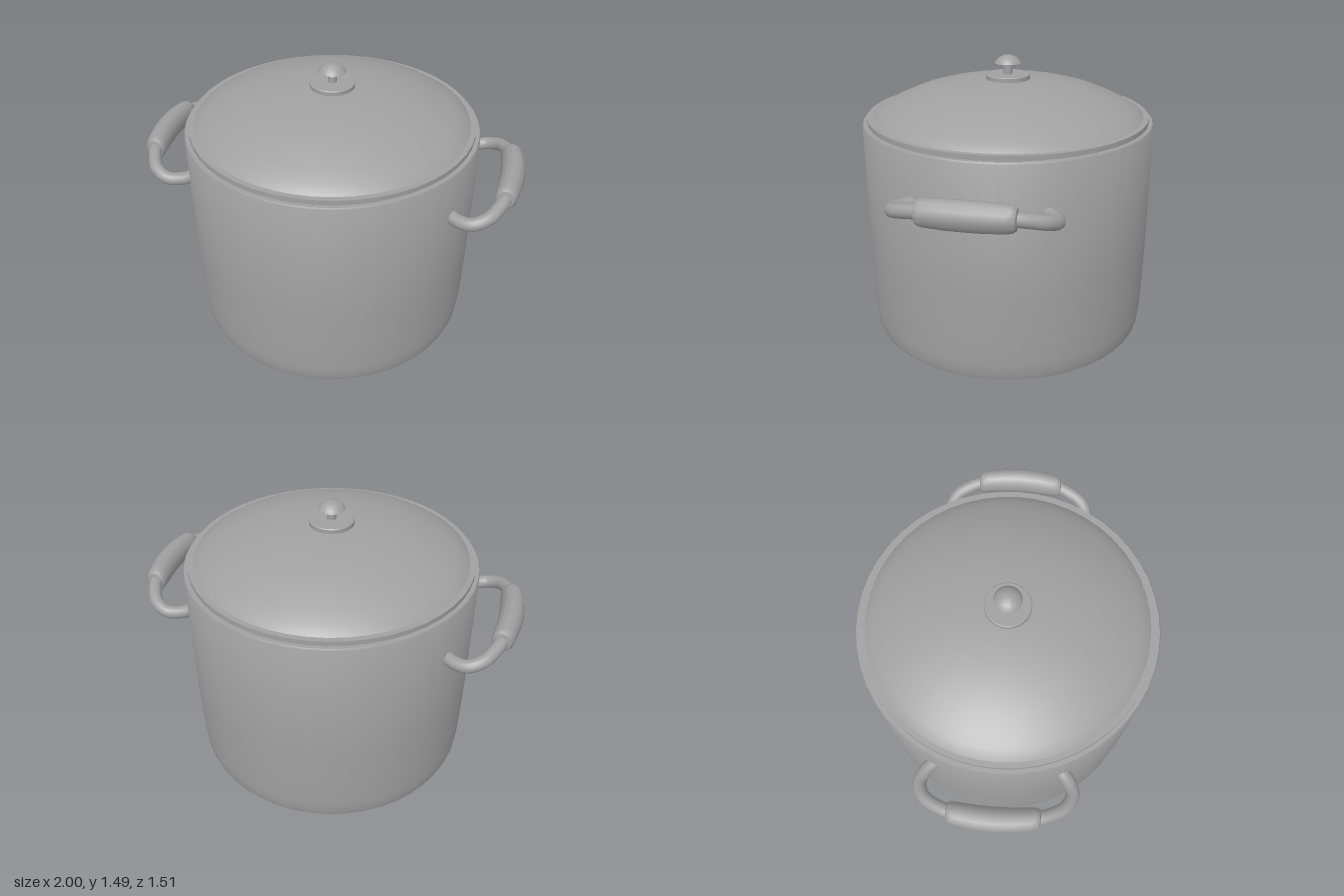
import * as THREE from 'three';
import { toCreasedNormals } from 'three/addons/utils/BufferGeometryUtils.js';

const material = new THREE.MeshStandardMaterial({ color: 0xa0a0a0, side: THREE.DoubleSide });

function part(name, geometry) {
  const mesh = new THREE.Mesh(geometry, material);
  mesh.name = name;
  return mesh;
}

// Turned part from [radius, height] pairs, listed from bottom to top on the outside
function turned(profile, segments) {
  const points = profile.map(([r, y]) => new THREE.Vector2(r, y));
  return toCreasedNormals(new THREE.LatheGeometry(points, segments), 0.6);
}

// Side handle on +x: a bent rod with a thicker grip around its middle
function createHandle(name) {
  const handle = new THREE.Group();
  handle.name = name;

  const half = [
    [0.667, 0.912, 0.315], [0.71, 0.912, 0.352], [0.78, 0.921, 0.377],
    [0.85, 0.945, 0.345], [0.893, 0.966, 0.275], [0.918, 0.979, 0.2],
  ];
  const path = [
    ...half,
    [0.938, 0.986, 0],
    ...half.map(([x, y, z]) => [x, y, -z]).reverse(),
  ].map((p) => new THREE.Vector3(...p));
  const curve = new THREE.CatmullRomCurve3(path);
  handle.add(part('handleRod', new THREE.TubeGeometry(curve, 72, 0.034, 16)));

  // Grip: turned along z, flattened, then bowed to follow the rod
  const grip = turned([
    [0, -0.226], [0.036, -0.226], [0.05, -0.222], [0.059, -0.208], [0.063, -0.18],
    [0.067, -0.09], [0.068, 0], [0.067, 0.09], [0.063, 0.18],
    [0.059, 0.208], [0.05, 0.222], [0.036, 0.226], [0, 0.226],
  ], 12);
  grip.rotateX(Math.PI / 2);
  grip.scale(0.9, 1.05, 1);
  const pos = grip.attributes.position;
  for (let i = 0; i < pos.count; i++) {
    const z2 = pos.getZ(i) ** 2;
    pos.setX(i, pos.getX(i) + 0.939 - 0.45 * z2);
    pos.setY(i, pos.getY(i) + 0.985 - 0.15 * z2);
  }
  handle.add(part('handleGrip', grip));
  return handle;
}

export function createModel() {
  const model = new THREE.Group();
  model.name = 'stockPot';

  // Pot body with rounded bottom edge, rim and inner wall
  model.add(part('potBody', turned([
    [0, 0], [0.57, 0.002], [0.67, 0.006], [0.71, 0.012], [0.734, 0.027],
    [0.744, 0.055], [0.75, 0.12], [0.754, 0.28], [0.757, 0.48], [0.757, 1.155],
    [0.752, 1.163], [0.73, 1.163], [0.73, 0.08], [0.7, 0.035], [0, 0.03],
  ], 48)));

  // Lid: stepped flange and domed top
  const lid = new THREE.Group();
  lid.name = 'lid';
  lid.add(part('lidFlange', turned([
    [0.7, 1.155], [0.732, 1.155], [0.732, 1.188], [0.69, 1.188],
  ], 48)));
  const dome = [[0.715, 1.175], [0.705, 1.188], [0.655, 1.222], [0.6, 1.25], [0.5, 1.293],
    [0.4, 1.323], [0.3, 1.345], [0.2, 1.359], [0.1, 1.367], [0, 1.369]];
  lid.add(part('lidDome', turned(dome, 48)));

  // Knob: base disc, stem and mushroom cap
  lid.add(part('knobBase', turned([
    [0.114, 1.36], [0.114, 1.386], [0.11, 1.39], [0, 1.39],
  ], 32)));
  const stem = part('knobStem', new THREE.CylinderGeometry(0.023, 0.023, 0.07, 20));
  stem.position.y = 1.415;
  lid.add(stem);
  lid.add(part('knobCap', turned([
    [0, 1.443], [0.066, 1.443], [0.07, 1.446], [0.062, 1.459], [0.046, 1.474],
    [0.024, 1.484], [0, 1.487],
  ], 32)));
  model.add(lid);

  // A handle on each side
  const left = createHandle('leftHandle');
  const right = createHandle('rightHandle');
  right.rotation.y = Math.PI;
  model.add(left, right);

  return model;
}
